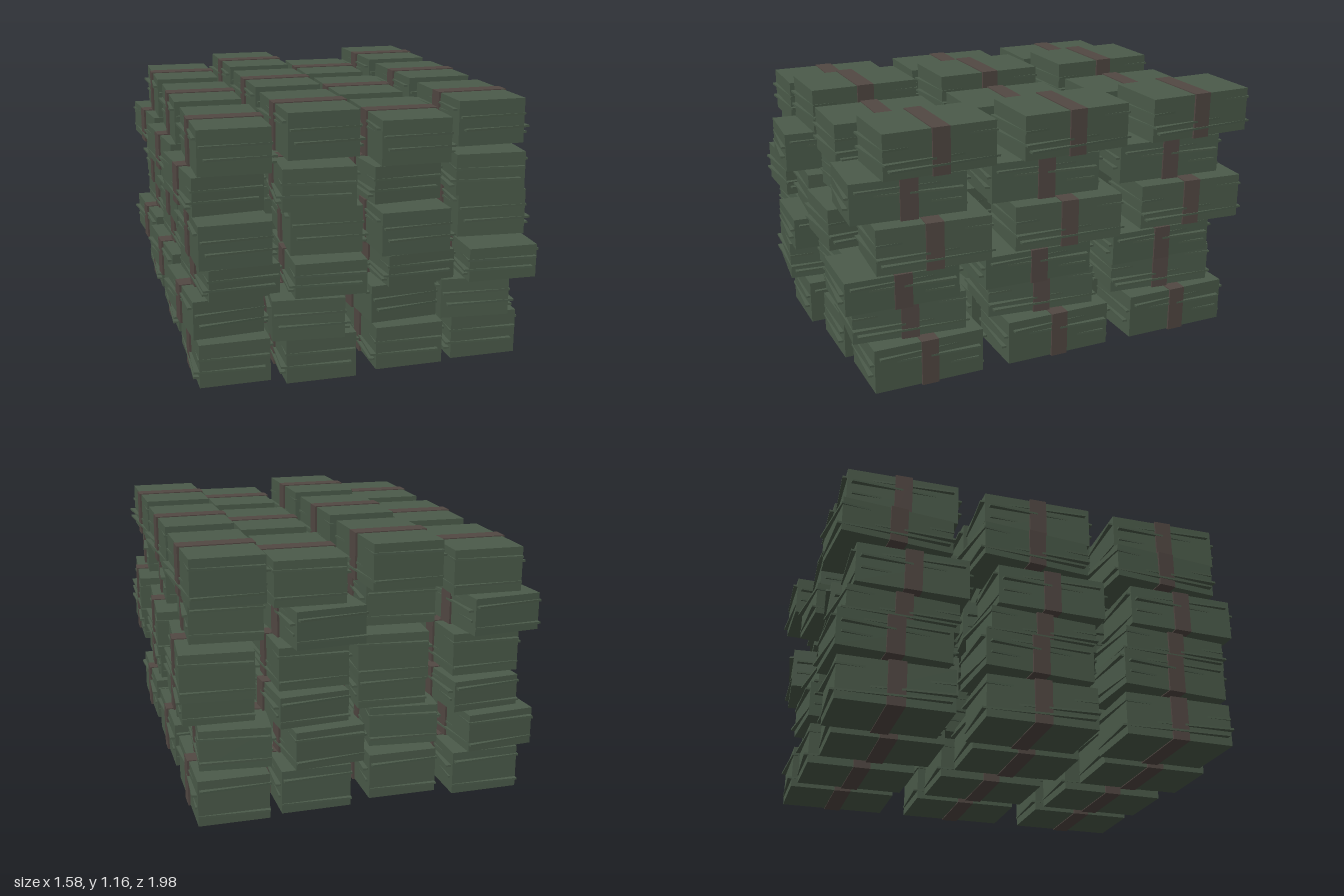
import * as THREE from 'three';

const W = 0.305, L = 0.5; // bundle width and length
const paper = new THREE.MeshStandardMaterial({ color: 0x4b5b4a, flatShading: true });
const strap = new THREE.MeshStandardMaterial({ color: 0x524843, flatShading: true });

// Each layer of a pile: x, bottom, top, z, yaw
const PILE_A = [
  [-0.565, 0, 0.2, 0.6, 0.01],
  [-0.6, 0.21, 0.385, 0.57, 0.08],
  [-0.54, 0.385, 0.53, 0.61, 0.09],
  [-0.565, 0.535, 0.73, 0.65, 0.02],
  [-0.595, 0.74, 0.91, 0.56, 0.1],
  [-0.545, 0.91, 1.11, 0.6, -0.015],
];
const PILE_B = [
  [0.565, 0, 0.21, 0.585, 0],
  [0.52, 0.215, 0.4, 0.64, -0.1],
  [0.595, 0.4, 0.555, 0.705, -0.02],
  [0.61, 0.555, 0.765, 0.56, -0.07],
  [0.555, 0.77, 0.955, 0.65, -0.06],
  [0.585, 0.955, 1.16, 0.53, 0.015],
];

// Loose sheets poking out of a bundle: relative height, x, z, yaw
const SHEETS = [
  [0.22, -0.012, -0.012, -0.05],
  [0.37, -0.008, 0.012, -0.07],
  [0.64, 0.008, 0.01, -0.06],
  [0.78, 0.006, -0.014, 0.05],
];

function box(name, material, w, h, l, y) {
  const mesh = new THREE.Mesh(new THREE.BoxGeometry(w, h, l), material);
  mesh.name = name;
  mesh.position.y = y;
  return mesh;
}

function bundle([x, bottom, top, z, yaw], flip) {
  const group = new THREE.Group();
  group.name = 'bundle';
  const h = top - bottom;
  group.add(box('paperBlock', paper, W, h - 0.008, L, h / 2));
  group.add(box('paperStrap', strap, W + 0.018, h, 0.078, h / 2));
  for (const [level, sx, sz, turn] of SHEETS) {
    const sheet = box('looseSheet', paper, W, 0.009, L, h * level);
    sheet.position.x = sx * flip;
    sheet.position.z = sz;
    sheet.rotation.y = turn * flip;
    group.add(sheet);
  }
  group.position.set(x, bottom, z);
  group.rotation.y = yaw;
  return group;
}

export function createModel() {
  const model = new THREE.Group();
  model.name = 'stackedBundles';
  // Four piles across: layers, x shift, z shift
  const columns = [
    [PILE_A, 0, 0],
    [PILE_B, -0.765, 0.065],
    [PILE_A, 0.77, 0.01],
    [PILE_B, 0, 0],
  ];
  for (let row = 0; row < 3; row++) {
    for (const [layers, dx, dz] of columns) {
      const pile = new THREE.Group();
      pile.name = 'pile';
      layers.forEach(([x, bottom, top, z, yaw], i) => {
        const zz = Math.min(z + dz, 0.71) - row * 0.627;
        pile.add(bundle([x + dx, bottom, top, zz, yaw], i % 2 ? -1 : 1));
      });
      model.add(pile);
    }
  }
  return model;
}
